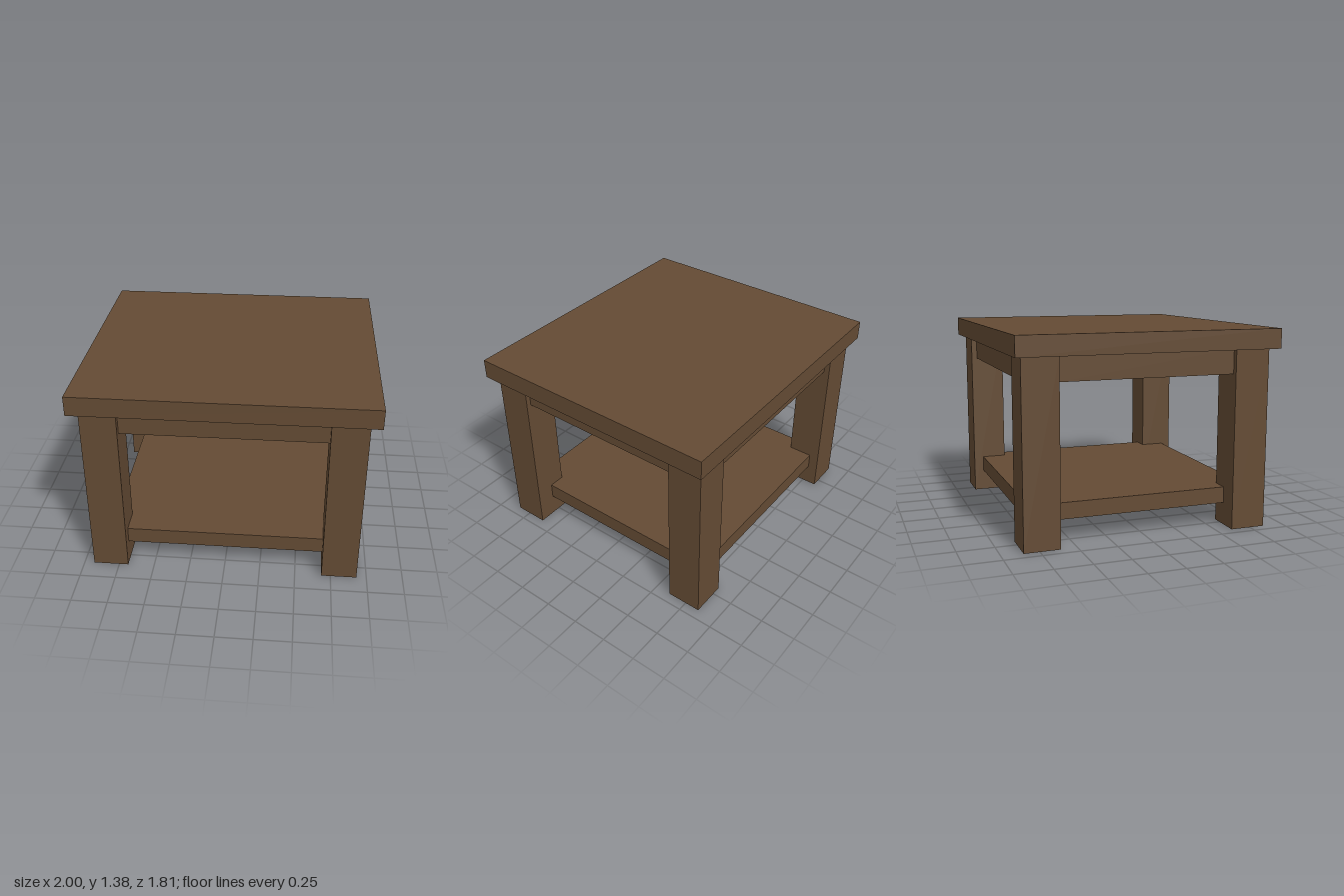
import * as THREE from 'three';

export function createModel() {
  const table = new THREE.Group();
  table.name = 'sideTable';
  const wood = new THREE.MeshStandardMaterial({ color: 0x644b34 });
  wood.name = 'dark brown wood';

  // Box placed by its centre in x and z and its bottom and top heights
  function board(name, width, depth, bottom, top, x = 0, z = 0) {
    const mesh = new THREE.Mesh(new THREE.BoxGeometry(width, top - bottom, depth), wood);
    mesh.name = name;
    mesh.position.set(x, (bottom + top) / 2, z);
    table.add(mesh);
  }

  board('tableTop', 2, 1.81, 1.24, 1.375);

  // Four square legs
  const legSize = 0.245, legX = 0.808, legZ = 0.733;
  for (const [side, sx] of [['Left', 1], ['Right', -1]]) {
    board('front' + side + 'Leg', legSize, legSize, 0, 1.24, sx * legX, legZ);
    board('back' + side + 'Leg', legSize, legSize, 0, 1.24, sx * legX, -legZ);
  }

  // Apron rails between the legs
  const railY = 1.07, rail = 0.165;
  const spanX = 2 * legX - legSize, spanZ = 2 * legZ - legSize;
  board('frontApron', spanX, rail, railY, 1.24, 0, 0.733);
  board('backApron', spanX, rail, railY, 1.24, 0, -0.733);
  board('leftApron', rail, spanZ, railY, 1.24, 0.813, 0);
  board('rightApron', rail, spanZ, railY, 1.24, -0.813, 0);

  // Lower shelf, its corners set into the legs
  board('lowerShelf', 1.6, 1.57, 0.155, 0.268);

  return table;
}
